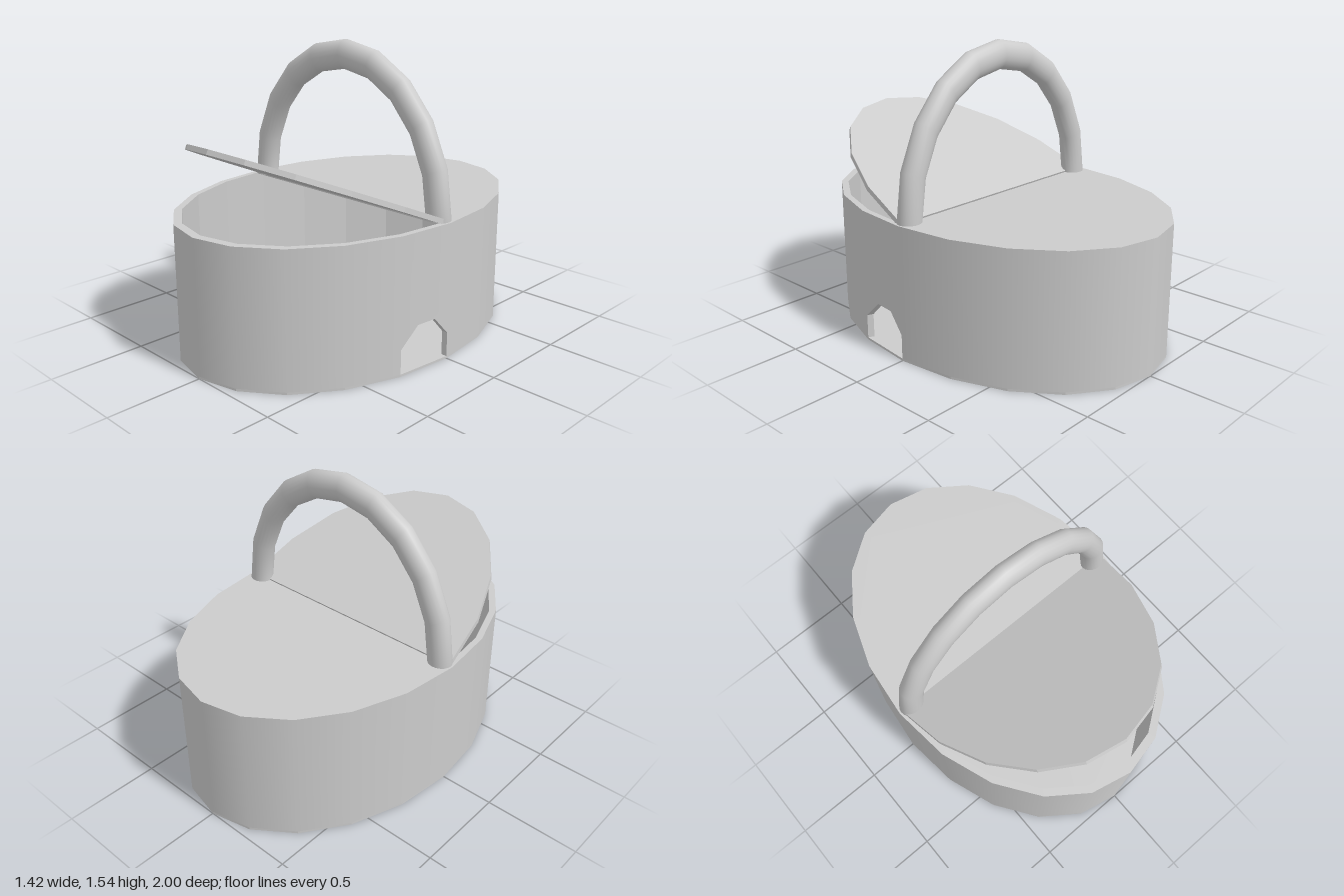
import * as THREE from 'three';
import { mergeGeometries } from 'three/addons/utils/BufferGeometryUtils.js';

const RX = 0.71, RZ = 1, SIDES = 20, INNER = 0.955;
const HEIGHT = 0.715, FLOOR = 0.012, STEP = (Math.PI * 2) / SIDES;
const material = new THREE.MeshStandardMaterial({ color: 0xcccccc });

// Point i of the faceted oval, scaled by k
const oval = (i, k = 1) => new THREE.Vector2(RX * k * Math.cos(i * STEP), RZ * k * Math.sin(i * STEP));

function ovalPoints(from, to, k) {
  const points = [];
  for (let i = from; i <= to; i++) points.push(oval(i, k));
  return points;
}

// Horizontal plate; the shape's y becomes z
function plate(points, depth, top) {
  return new THREE.ExtrudeGeometry(new THREE.Shape(points), { depth, bevelEnabled: false })
    .rotateX(Math.PI / 2).translate(0, top, 0);
}

// Point on the wall: side i, fraction u along the side, height y
function onWall(i, u, y, k) {
  const p = oval(i, k).lerp(oval(i + 1, k), u);
  return [p.x, y, p.y];
}

// Wall side bent from a flat outline: smooth outside, faceted inside
function wallPanel(i, outline, k, outside) {
  const flat = new THREE.ShapeGeometry(new THREE.Shape(outline));
  const uv = flat.attributes.position, index = flat.index.array;
  const positions = [], normals = [];
  for (let t = 0; t < index.length; t += 3) {
    const order = outside ? [0, 2, 1] : [0, 1, 2];
    for (const o of order) {
      const v = index[t + o], u = uv.getX(v);
      positions.push(...onWall(i, u, uv.getY(v), k));
      const a = (i + (outside ? u : 0.5)) * STEP, s = outside ? 1 : -1;
      const n = new THREE.Vector3(s * Math.cos(a) / RX, 0, s * Math.sin(a) / RZ).normalize();
      normals.push(n.x, n.y, n.z);
    }
  }
  const geometry = new THREE.BufferGeometry();
  geometry.setAttribute('position', new THREE.Float32BufferAttribute(positions, 3));
  geometry.setAttribute('normal', new THREE.Float32BufferAttribute(normals, 3));
  return geometry;
}

export function createModel() {
  const model = new THREE.Group();
  const add = (name, geometry, mat = material) => {
    const mesh = new THREE.Mesh(geometry, mat);
    mesh.name = name;
    model.add(mesh);
    return mesh;
  };
  const v2 = ([x, y]) => new THREE.Vector2(x, y);

  // Walls, with an arched doorway filling one side
  const arch = [[0, 0.14], [0.29, 0.24], [0.65, 0.24], [1, 0.14]];
  const plain = [[0, FLOOR], [1, FLOOR], [1, HEIGHT], [0, HEIGHT]].map(v2);
  const cut = [...arch, [1, HEIGHT], [0, HEIGHT]].map(v2);
  const outer = [], inner = [];
  for (let i = 0; i < SIDES; i++) {
    const outline = i === 0 ? cut : plain;
    outer.push(wallPanel(i, outline, 1, true));
    inner.push(wallPanel(i, outline, INNER, false));
  }
  add('outerWall', mergeGeometries(outer));
  add('innerWall', mergeGeometries(inner));

  // Thickness of the doorway
  const door = [[0, FLOOR], ...arch, [1, FLOOR]], reveal = [];
  for (let j = 0; j < door.length - 1; j++) {
    const [a, b] = [door[j], door[j + 1]];
    const [ao, bo, ai, bi] = [onWall(0, ...a, 1), onWall(0, ...b, 1), onWall(0, ...a, INNER), onWall(0, ...b, INNER)];
    reveal.push(...ao, ...bo, ...bi, ...ao, ...bi, ...ai);
  }
  const revealGeometry = new THREE.BufferGeometry();
  revealGeometry.setAttribute('position', new THREE.Float32BufferAttribute(reveal, 3));
  revealGeometry.computeVertexNormals();
  add('doorwayEdge', revealGeometry);

  // Floor, rim and fixed rear cover
  add('floor', plate(ovalPoints(0, SIDES - 1, 1), FLOOR, FLOOR));
  const ring = new THREE.Shape(ovalPoints(0, SIDES - 1, 1));
  ring.holes.push(new THREE.Path(ovalPoints(0, SIDES - 1, INNER)));
  add('rim', new THREE.ShapeGeometry(ring).rotateX(-Math.PI / 2).translate(0, HEIGHT, 0));
  add('rearCover', plate(ovalPoints(SIDES / 2, SIDES, INNER), 0.025, HEIGHT));

  // Front lid, hinged on the middle line and propped open
  const lid = add('frontLid', plate(ovalPoints(0, SIDES / 2, 0.975), 0.026, 0.026));
  lid.position.set(0, 0.7, 0.008);
  lid.rotation.x = -THREE.MathUtils.degToRad(23.5);

  // Arched carrying handle
  const handle = add('handle', new THREE.TorusGeometry(0.635, 0.065, 20, 10, Math.PI)
    .scale(1, 1.175, 0.92));
  handle.position.y = HEIGHT;
  handle.material = new THREE.MeshStandardMaterial({ color: 0xcccccc, side: THREE.DoubleSide });

  return model;
}
